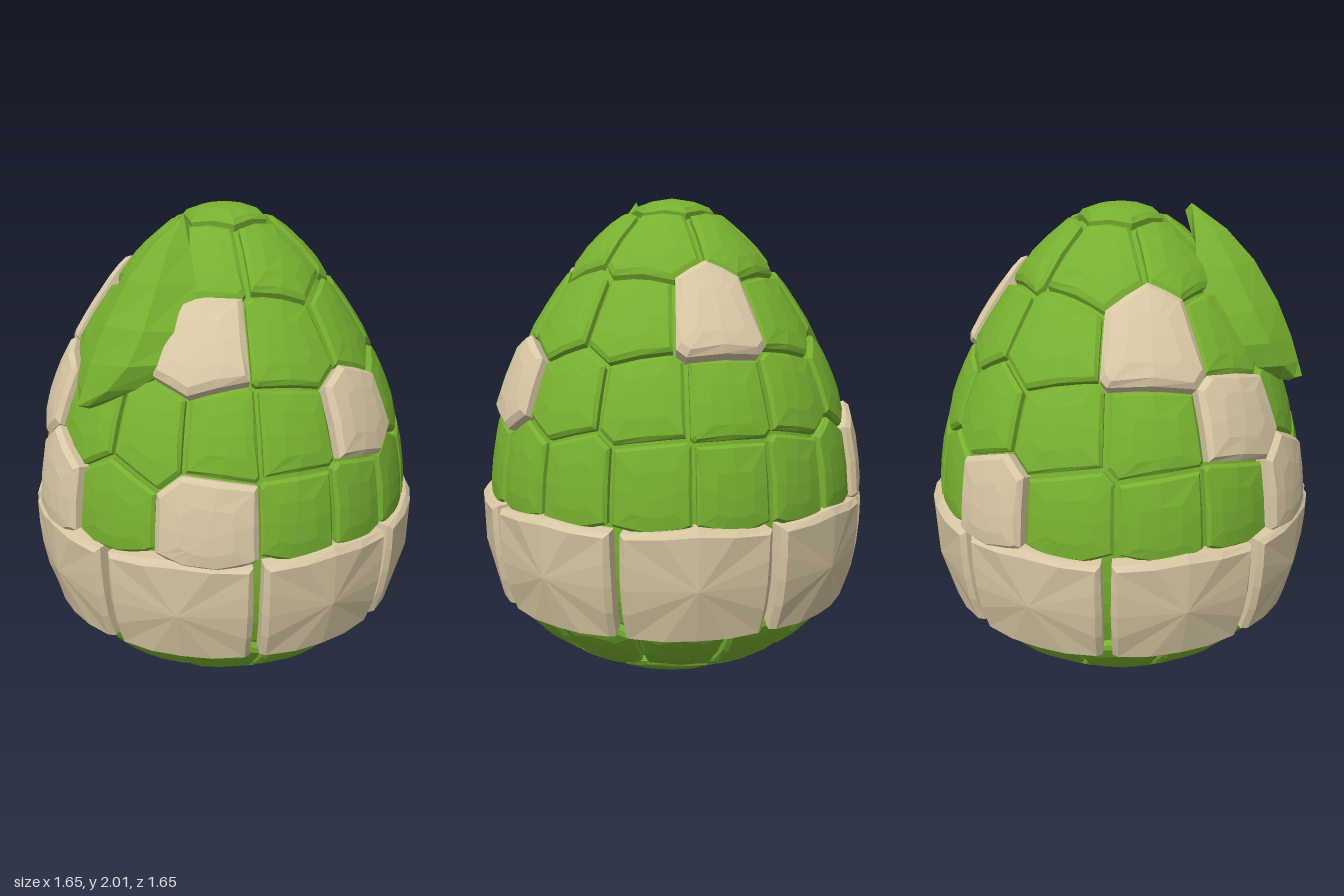
import * as THREE from 'three';

const V = (x, y, z) => new THREE.Vector3(x, y, z);
const rad = THREE.MathUtils.degToRad;
const MID = 0.85; // height of the point all surface directions start from

const green = new THREE.MeshStandardMaterial({ color: 0x78b030 });
green.name = 'leaf green';
const tan = new THREE.MeshStandardMaterial({ color: 0xd8c8a4 });
tan.name = 'pale stone';

// Egg outline as (radius, height)
const outline = new THREE.SplineCurve([
  [0, 0], [0.25, 0.012], [0.47, 0.1], [0.62, 0.21], [0.73, 0.36], [0.78, 0.56], [0.788, 0.8], [0.765, 1.0],
  [0.715, 1.2], [0.63, 1.4], [0.51, 1.6], [0.35, 1.81], [0.17, 1.96], [0, 2],
].map(([r, y]) => new THREE.Vector2(r, y))).getPoints(260);
const angles = outline.map((p) => Math.atan2(p.y - MID, p.x));

// Point on the egg in a given direction, raised by an offset
function surface(dir, offset) {
  const a = Math.asin(THREE.MathUtils.clamp(dir.y, -1, 1));
  let i = 1;
  while (i < angles.length - 1 && angles[i] < a) i++;
  const t = THREE.MathUtils.clamp((a - angles[i - 1]) / (angles[i] - angles[i - 1] || 1), 0, 1);
  const p = outline[i - 1].clone().lerp(outline[i], t);
  const rho = Math.hypot(p.x, p.y - MID) + offset;
  return V(dir.x * rho, MID + dir.y * rho, dir.z * rho);
}

// Direction towards the egg's surface at an azimuth (0 = front, 90 = +x) and height
function direction(az, y) {
  const p = outline.find((q) => q.y >= y - 1e-6) || outline[outline.length - 1];
  return V(p.x * Math.sin(rad(az)), p.y - MID, p.x * Math.cos(rad(az))).normalize();
}

function flatMesh(name, points, material) {
  const g = new THREE.BufferGeometry().setFromPoints(points);
  g.computeVertexNormals();
  const m = new THREE.Mesh(g, material);
  m.name = name;
  return m;
}

const quad = (a, b, c, d) => [a, b, c, a, c, d];

// Bevelled plate over a convex outline of directions, with a fanned top
function plate(name, corners, center, o) {
  const edge = [];
  corners.forEach((c, i) => {
    const next = corners[(i + 1) % corners.length];
    for (let k = 0; k < o.split; k++) edge.push(c.clone().lerp(next, k / o.split).normalize());
  });
  const toward = (d, f) => d.clone().lerp(center, f).normalize();
  const rings = [
    edge.map((d) => surface(d, -0.07)),
    edge.map((d) => surface(d, o.height - o.bevel * 0.6)),
    edge.map((d) => surface(toward(d, Math.min(0.6, o.bevel / d.distanceTo(center))), o.height)),
  ];
  if (o.inner) rings.push(edge.map((d) => surface(toward(d, 0.5), o.height + 0.004)));
  const top = surface(center, o.height + 0.004);
  const tris = [];
  edge.forEach((_, i) => {
    const j = (i + 1) % edge.length;
    for (let r = 1; r < rings.length; r++) {
      tris.push(...quad(rings[r - 1][i], rings[r - 1][j], rings[r][j], rings[r][i]));
    }
    const last = rings[rings.length - 1];
    tris.push(top, last[i], last[j]);
  });
  return flatMesh(name, tris, o.material);
}

// Outline of the area nearer to one site than to any other, less a groove
function cell(site, others, gap) {
  const up = Math.abs(site.y) > 0.9 ? V(1, 0, 0) : V(0, 1, 0);
  const e1 = up.cross(site).normalize();
  const e2 = site.clone().cross(e1);
  let poly = [[-1, -1], [1, -1], [1, 1], [-1, 1]].map(([u, v]) =>
    site.clone().addScaledVector(e1, u * 0.8).addScaledVector(e2, v * 0.8));
  for (const q of others) {
    if (q === site || q.distanceTo(site) > 1.3) continue;
    const n = site.clone().sub(q).normalize();
    const out = [];
    poly.forEach((a, i) => {
      const b = poly[(i + 1) % poly.length];
      const da = a.dot(n) - gap, db = b.dot(n) - gap;
      if (da >= 0) out.push(a);
      if (da * db < 0) out.push(a.clone().lerp(b, da / (da - db)));
    });
    poly = out;
  }
  return poly.map((p) => p.normalize());
}

const ring = (n, start) => Array.from({ length: n }, (_, i) => start + (i * 360) / n);

// Rows of plates: height, azimuths, and which azimuths are stone
const rows = [
  { y: 0, az: [0], stone: [] },
  { y: 0.06, az: ring(7, 5), stone: [] },
  { y: 0.215, az: ring(12, 15), stone: [] },
  { y: 0.95, az: [-14, 12, 43, 70, 91, 111, 132, 156, 180, -158, -139, -117, -90, -62, -38], stone: [-14, 43, -117] },
  { y: 1.25, az: [-33, -2, 23, 46, 70, 96, 125, 153, 180, -153, -125, -95, -64], stone: [-33, 96] },
  { y: 1.56, az: [5, 37, 75, 110, 146, 180, -146, -103, -61, -26], stone: [37, 180, -61] },
  { y: 1.84, az: ring(6, 30), stone: [] },
  { y: 2, az: [0], stone: [] },
];

// Closed leaf-like scale with a central ridge, standing off the front
function frontScale() {
  // ridge y, ridge x, ridge z, left x, right x, edge y, edge z
  const sections = [
    [1.99, 0.075, 0.29, 0.07, 0.08, 1.985, 0.285],
    [1.9, 0.065, 0.43, -0.03, 0.15, 1.88, 0.32],
    [1.78, 0.055, 0.55, -0.13, 0.22, 1.76, 0.35],
    [1.62, 0.04, 0.655, -0.21, 0.28, 1.6, 0.43],
    [1.48, 0.025, 0.72, -0.22, 0.27, 1.49, 0.51],
    [1.38, 0.015, 0.755, -0.15, 0.17, 1.39, 0.61],
    [1.32, 0.01, 0.775, -0.04, 0.06, 1.32, 0.69],
  ].map(([y, x, z, xl, xr, ey, ez]) => {
    const side = (ex) => V((x + ex) / 2 + (ex - x) * 0.08, (y + ey) / 2, (z + ez) / 2 + (z - ez) * 0.17);
    return [V(xl, ey, ez), side(xl), V(x, y, z), side(xr), V(xr, ey, ez), V(x, ey - 0.02, ez - 0.03)];
  });
  const tris = [];
  for (let s = 1; s < sections.length; s++) {
    const a = sections[s - 1], b = sections[s];
    a.forEach((_, i) => {
      const j = (i + 1) % a.length;
      tris.push(...quad(b[i], b[j], a[j], a[i]));
    });
  }
  // pointed underside and tip
  const end = sections[sections.length - 1], first = sections[0];
  const low = V(0.01, 1.295, 0.72), tip = V(0.075, 1.995, 0.28);
  end.forEach((p, i) => {
    const j = (i + 1) % end.length;
    tris.push(low, end[j], p, tip, first[i], first[j]);
  });
  return flatMesh('frontScale', tris, green);
}

export function createModel() {
  const model = new THREE.Group();
  model.name = 'platedEgg';

  // Inner shell seen in the grooves
  const core = new THREE.SphereGeometry(1, 36, 26).toNonIndexed();
  const pos = core.attributes.position;
  for (let i = 0; i < pos.count; i++) {
    const p = surface(V().fromBufferAttribute(pos, i).normalize(), -0.035);
    pos.setXYZ(i, p.x, p.y, p.z);
  }
  core.computeVertexNormals();
  const shell = new THREE.Mesh(core, green);
  shell.name = 'innerShell';
  model.add(shell);

  // Mosaic plates, kept clear of the band
  const sites = rows.flatMap((row) => row.az.map((az) =>
    ({ dir: direction(az, row.y), stone: row.stone.includes(az) })));
  const blockers = ring(36, 0).map((az) => direction(az, 0.53));
  const all = sites.map((s) => s.dir).concat(blockers);
  for (const { dir, stone } of sites) {
    const corners = cell(dir, all, stone ? 0.002 : 0.012);
    const center = corners.reduce((sum, c) => sum.add(c), V(0, 0, 0)).normalize();
    model.add(plate(stone ? 'stonePlate' : 'greenPlate', corners, center, {
      split: 2, height: stone ? 0.03 : 0, bevel: stone ? 0.03 : 0.02, inner: true, material: stone ? tan : green,
    }));
  }

  // Band of eight large stone plates
  for (const az of ring(8, -11.25)) {
    const corners = [[-21, 0.335], [0, 0.32], [21, 0.335], [21.3, 0.55], [21, 0.755], [0, 0.785], [-21, 0.755], [-21.3, 0.55]]
      .map(([d, y]) => direction(az + d, y));
    model.add(plate('bandPlate', corners, direction(az, 0.55), {
      split: 2, height: 0.037, bevel: 0.03, inner: false, material: tan,
    }));
  }

  model.add(frontScale());
  return model;
}
